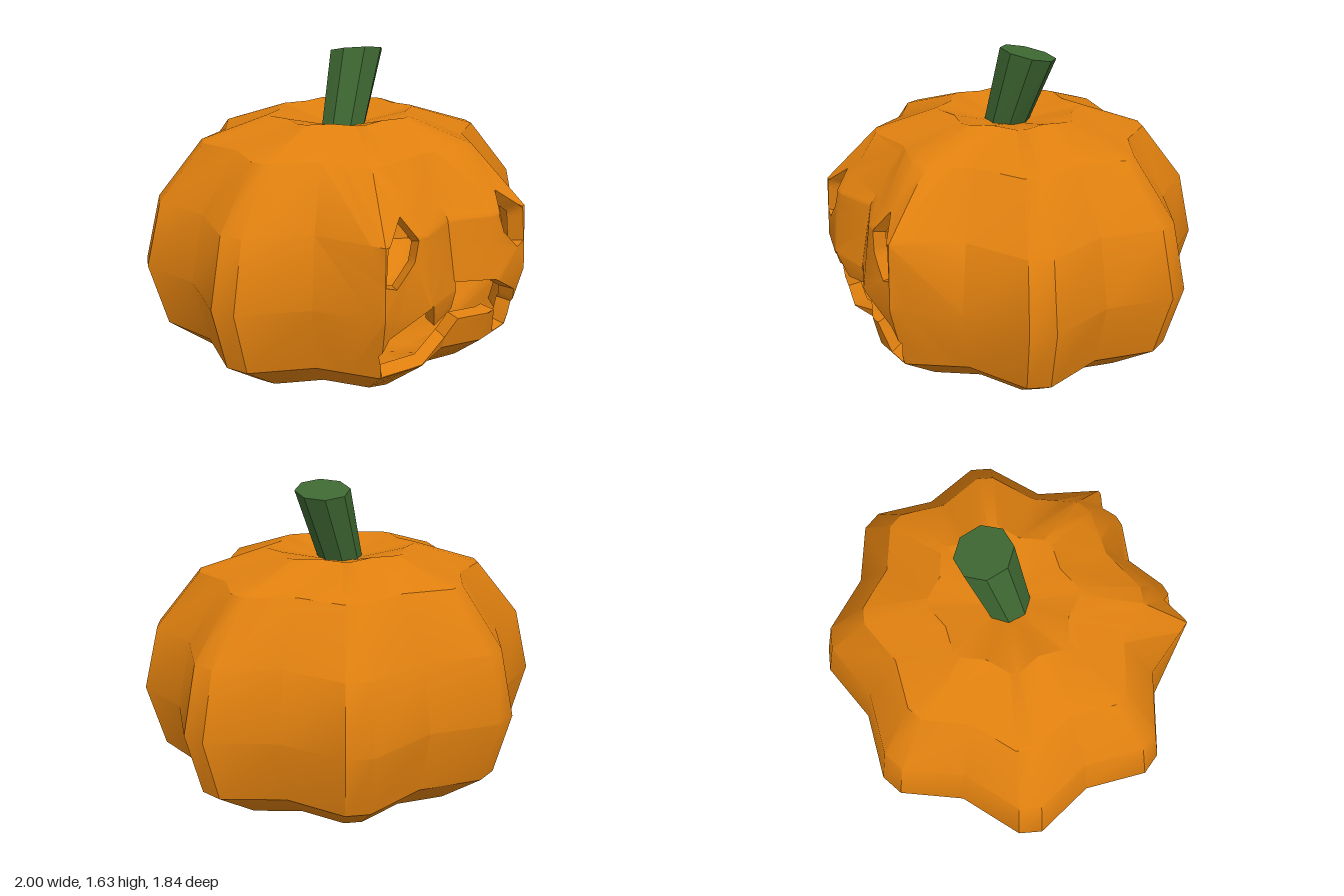
import * as THREE from 'three';
import { toCreasedNormals } from 'three/addons/utils/BufferGeometryUtils.js';

// Profile rows from underside to crown: radius scale, height
const ROWS = [[0, 0.05], [0.12, 0.03], [0.37, 0], [0.7, 0.07], [0.92, 0.25], [1, 0.58],
  [0.92, 0.91], [0.7, 1.19], [0.37, 1.3], [0.12, 1.24], [0, 1.22]];
const COLS = 24, FRONT = 12;          // eight ribs of three columns; column 12 is the front groove
const LOBE = [0, 19, 26];             // groove and the two ridge lines of a rib, in degrees
const FACE = { u0: 9, u1: 15, v0: 3, v1: 8 };

// Corner of the ribbed body at a whole column and row
function corner(col, row) {
  const a = col - FRONT, lobe = Math.floor(a / 3), m = a - lobe * 3;
  let [s, y] = ROWS[row];
  let deg = lobe * 45 + LOBE[m], r = m === 0 ? 0.92 : 1.058;
  if (row >= 4 && row <= 6) {
    if (Math.abs(a) === 1) { // flatter, broader ridges on the face
      deg = Math.sign(a) * 12.5;
      r = 1.019;
      if (row === 6) s = 0.94;
    }
    if (Math.abs(a) === 2 && row === 6) s = 0.98;
  }
  if (row === 2 && m === 0) y = 0.02;
  const t = THREE.MathUtils.degToRad(deg);
  return new THREE.Vector3(r * s * Math.sin(t), y, 0.925 * r * s * Math.cos(t));
}

// Any point of the body surface, bilinear between corners
function surface(u, v) {
  const c = Math.min(Math.floor(u), COLS - 1), r = Math.min(Math.floor(v), ROWS.length - 2);
  const low = corner(c, r).lerp(corner(c + 1, r), u - c);
  const high = corner(c, r + 1).lerp(corner(c + 1, r + 1), u - c);
  return low.lerp(high, v - r);
}

// Front-view position to surface coordinates
function toUV(x, y) {
  let r = 3;
  while (r < 7 && y > ROWS[r + 1][1]) r++;
  const v = r + (y - ROWS[r][1]) / (ROWS[r + 1][1] - ROWS[r][1]);
  let c = FACE.u0;
  while (c < FACE.u1 - 1 && x > surface(c + 1, v).x) c++;
  const a = surface(c, v).x, b = surface(c + 1, v).x;
  return new THREE.Vector2(c + (x - a) / (b - a), v);
}

// Outline of an opening, with extra points along each edge
function opening(points) {
  const out = [];
  points.forEach(([x, y], i) => {
    const [nx, ny] = points[(i + 1) % points.length];
    for (let k = 0; k < 4; k++) out.push(toUV(x + (nx - x) * k / 4, y + (ny - y) * k / 4));
  });
  return out;
}

// Part of a polygon on one side of a grid line
function clip(poly, axis, value, sign) {
  const out = [];
  poly.forEach((p, i) => {
    const q = poly[(i + 1) % poly.length];
    const dp = (p[axis] - value) * sign, dq = (q[axis] - value) * sign;
    if (dp >= 0) out.push(p);
    if ((dp > 0 && dq < 0) || (dp < 0 && dq > 0)) out.push(p.clone().lerp(q, dp / (dp - dq)));
  });
  return out;
}

function creased(positions) {
  const g = new THREE.BufferGeometry();
  g.setAttribute('position', new THREE.Float32BufferAttribute(positions, 3));
  return toCreasedNormals(g, 0.57);
}

function bodyGeometry(holes) {
  const pos = [];
  const emit = (poly, u, v) => {
    // keep points on the cell's own side of its borders
    const pts = poly.map(p => surface(
      THREE.MathUtils.clamp(p.x, u, u + 1), THREE.MathUtils.clamp(p.y, v, v + 1)));
    for (let i = 1; i < pts.length - 1; i++) {
      const tri = new THREE.Triangle(pts[0], pts[i], pts[i + 1]);
      if (tri.getArea() > 1e-9) pos.push(...pts[0].toArray(), ...pts[i].toArray(), ...pts[i + 1].toArray());
    }
  };
  const rect = (u0, v0, u1, v1) => [[u0, v0], [u1, v0], [u1, v1], [u0, v1]].map(p => new THREE.Vector2(...p));
  const { u0, v0, u1, v1 } = FACE;

  // Plain ribs
  for (let u = 0; u < COLS; u++) for (let v = 0; v < ROWS.length - 1; v++) {
    if (u >= u0 && u < u1 && v >= v0 && v < v1) continue;
    emit(rect(u, v, u + 1, v + 1), u, v);
  }

  // Carved face: triangulate around the openings, then cut along the grid lines
  const outline = rect(u0, v0, u1, v1);
  const all = [...outline, ...holes.flat()];
  for (const f of THREE.ShapeUtils.triangulateShape(outline, holes)) {
    const tri = f.map(i => all[i]);
    if (THREE.ShapeUtils.area(tri) < 0) tri.reverse();
    for (let u = u0; u < u1; u++) {
      const strip = clip(clip(tri, 'x', u, 1), 'x', u + 1, -1);
      for (let v = v0; v < v1 && strip.length > 2; v++) {
        const cell = clip(clip(strip, 'y', v, 1), 'y', v + 1, -1);
        if (cell.length > 2) emit(cell, u, v);
      }
    }
  }
  return creased(pos);
}

// Cut thickness around an opening
function rimGeometry(hole) {
  const pos = [], centre = new THREE.Vector3(0, 0.55, 0);
  const outer = hole.map(p => surface(p.x, p.y));
  const inner = outer.map(p => p.clone().lerp(centre, 0.08));
  outer.forEach((a, i) => {
    const j = (i + 1) % outer.length;
    for (const p of [a, outer[j], inner[j], a, inner[j], inner[i]]) pos.push(...p.toArray());
  });
  return creased(pos);
}

// Leaning eight-sided stem with a slanted cut
function stemGeometry() {
  const g = new THREE.CylinderGeometry(0.14, 0.115, 1, 8);
  g.rotateY(Math.PI / 8);
  const p = g.attributes.position;
  for (let i = 0; i < p.count; i++) {
    const x = p.getX(i), z = p.getZ(i);
    if (p.getY(i) > 0) p.setXYZ(i, x + 0.125, 1.6 - 0.1 * x + 0.2 * z, z - 0.035);
    else p.setXYZ(i, x - 0.01, 1.21, z + 0.02);
  }
  g.computeVertexNormals();
  return g;
}

export function createModel() {
  const group = new THREE.Group();
  group.name = 'carvedPumpkin';
  const skin = new THREE.MeshStandardMaterial({ color: 0xe0800f, side: THREE.DoubleSide });
  const green = new THREE.MeshStandardMaterial({ color: 0x3e6832, flatShading: true });
  const add = (name, geometry, material) => {
    const mesh = new THREE.Mesh(geometry, material);
    mesh.name = name;
    group.add(mesh);
  };

  const eye = [[0.31, 1.0], [0.44, 0.9], [0.455, 0.73], [0.4, 0.71], [0.295, 0.81], [0.265, 0.9]];
  const openings = {
    leftEye: opening(eye),
    rightEye: opening(eye.map(([x, y]) => [-x, y]).reverse()),
    mouth: opening([[-0.42, 0.255], [-0.2, 0.255], [0, 0.31], [0.05, 0.41], [0.26, 0.41], [0.31, 0.255],
      [0.42, 0.255], [0.45, 0.38], [0.42, 0.47], [0.21, 0.6], [0.005, 0.62], [0, 0.48],
      [-0.16, 0.46], [-0.21, 0.59], [-0.42, 0.47], [-0.45, 0.38]]),
  };

  add('body', bodyGeometry(Object.values(openings)), skin);
  for (const [name, hole] of Object.entries(openings)) add(name + 'Rim', rimGeometry(hole), skin);
  add('stem', stemGeometry(), green);
  return group;
}
